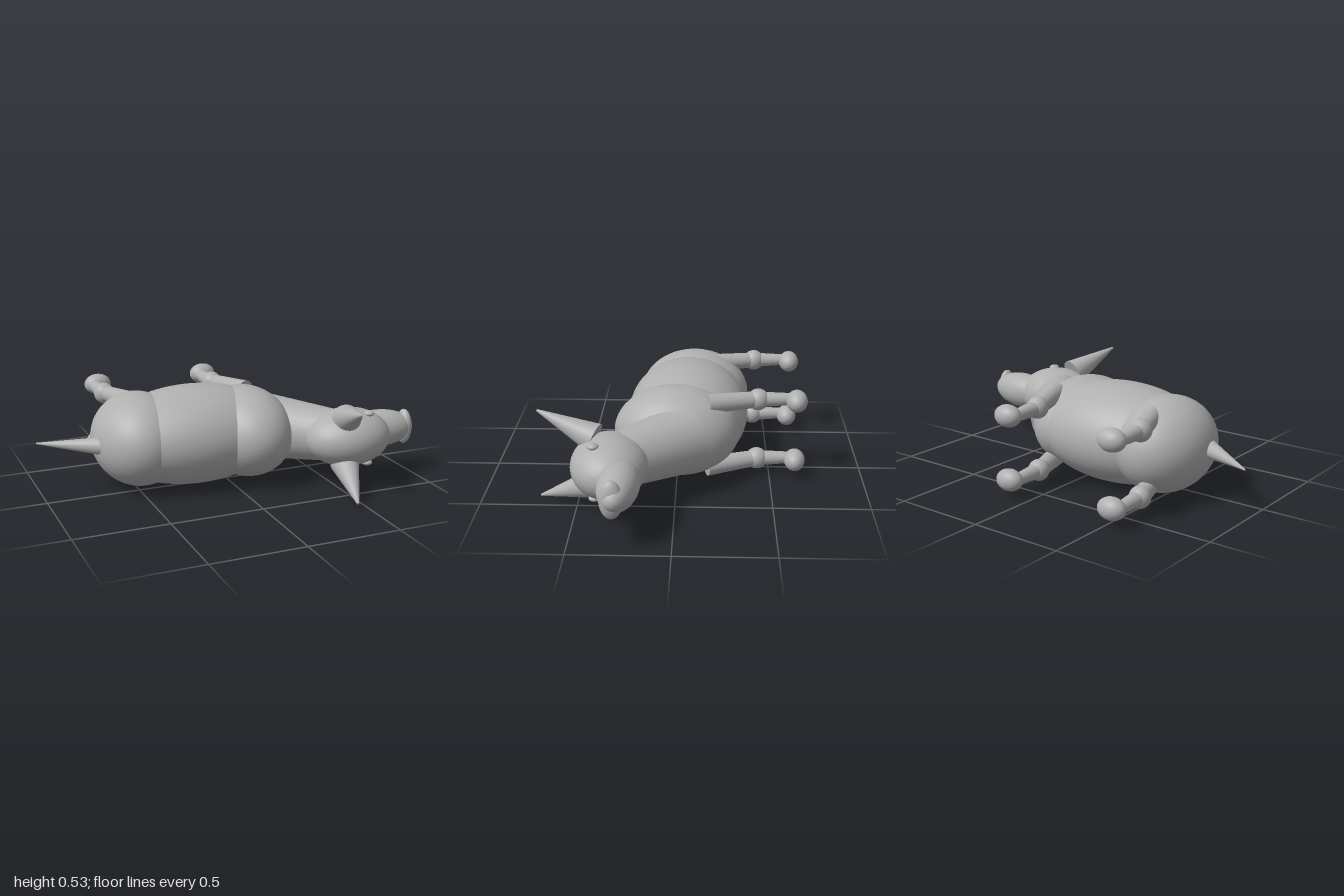
import * as THREE from 'three';

const MID = 0.268; // height of the animal's plane of symmetry, lying on its side

export function createModel() {
  const group = new THREE.Group();
  group.name = 'recliningPig';
  const grey = new THREE.MeshStandardMaterial({ color: 0xb0b0b0 });
  grey.name = 'plain grey';

  // Stretched sphere; y is measured from the plane of symmetry
  function blob(name, [x, y, z], [rx, ry, rz], turn = 0) {
    const mesh = new THREE.Mesh(new THREE.SphereGeometry(1, 40, 28), grey);
    mesh.name = name;
    mesh.scale.set(rx, ry, rz);
    mesh.position.set(x, MID + y, z);
    mesh.rotation.y = turn;
    group.add(mesh);
  }

  // Tapered limb between two points
  function limb(name, from, to, r0, r1) {
    const a = new THREE.Vector3(...from);
    const b = new THREE.Vector3(...to);
    const dir = b.clone().sub(a);
    const mesh = new THREE.Mesh(new THREE.CylinderGeometry(r1, r0, dir.length(), 32), grey);
    mesh.name = name;
    mesh.position.copy(a).add(b).multiplyScalar(0.5);
    mesh.position.y += MID;
    mesh.quaternion.setFromUnitVectors(new THREE.Vector3(0, 1, 0), dir.normalize());
    group.add(mesh);
  }

  // Torso
  blob('belly', [-0.17, 0, -0.055], [0.52, 0.265, 0.33]);
  blob('chest', [0.11, 0, 0], [0.25, 0.245, 0.335]);
  blob('rump', [-0.475, 0, -0.085], [0.25, 0.25, 0.31]);
  limb('tail', [-0.68, 0, -0.02], [-1, 0, -0.2], 0.05, 0.004);

  // Neck and head
  limb('neck', [0.235, 0, -0.045], [0.52, 0, 0.28], 0.182, 0.14);
  blob('head', [0.575, 0, 0.32], [0.24, 0.155, 0.195]);
  blob('snout', [0.8, 0, 0.257], [0.21, 0.103, 0.102], -0.08);
  blob('noseDisc', [0.955, 0, 0.28], [0.039, 0.098, 0.057]);

  // Paired parts, mirrored about the plane of symmetry
  for (const s of [1, -1]) {
    const side = s > 0 ? 'upper' : 'lower';
    blob(side + 'Eye', [0.663, s * 0.138, 0.39], [0.029, 0.016, 0.029]);
    limb(side + 'Ear', [0.525, s * 0.122, 0.395], [0.443, s * 0.235, 0.69], 0.078, 0.006);

    for (const [name, x, hipX] of [['Front', 0.09, 0.187], ['Hind', -0.557, -0.46]]) {
      const y = s * 0.17;
      limb(side + name + 'Thigh', [hipX, s * 0.178, -0.16], [x, y, -0.43], 0.053, 0.043);
      blob(side + name + 'Knee', [x, y, -0.43], [0.056, 0.058, 0.058]);
      limb(side + name + 'Shin', [x, y, -0.43], [x - 0.012, y, -0.63], 0.042, 0.03);
      blob(side + name + 'Hoof', [x + 0.02, y, -0.634], [0.076, 0.058, 0.056]);
    }
  }
  return group;
}
